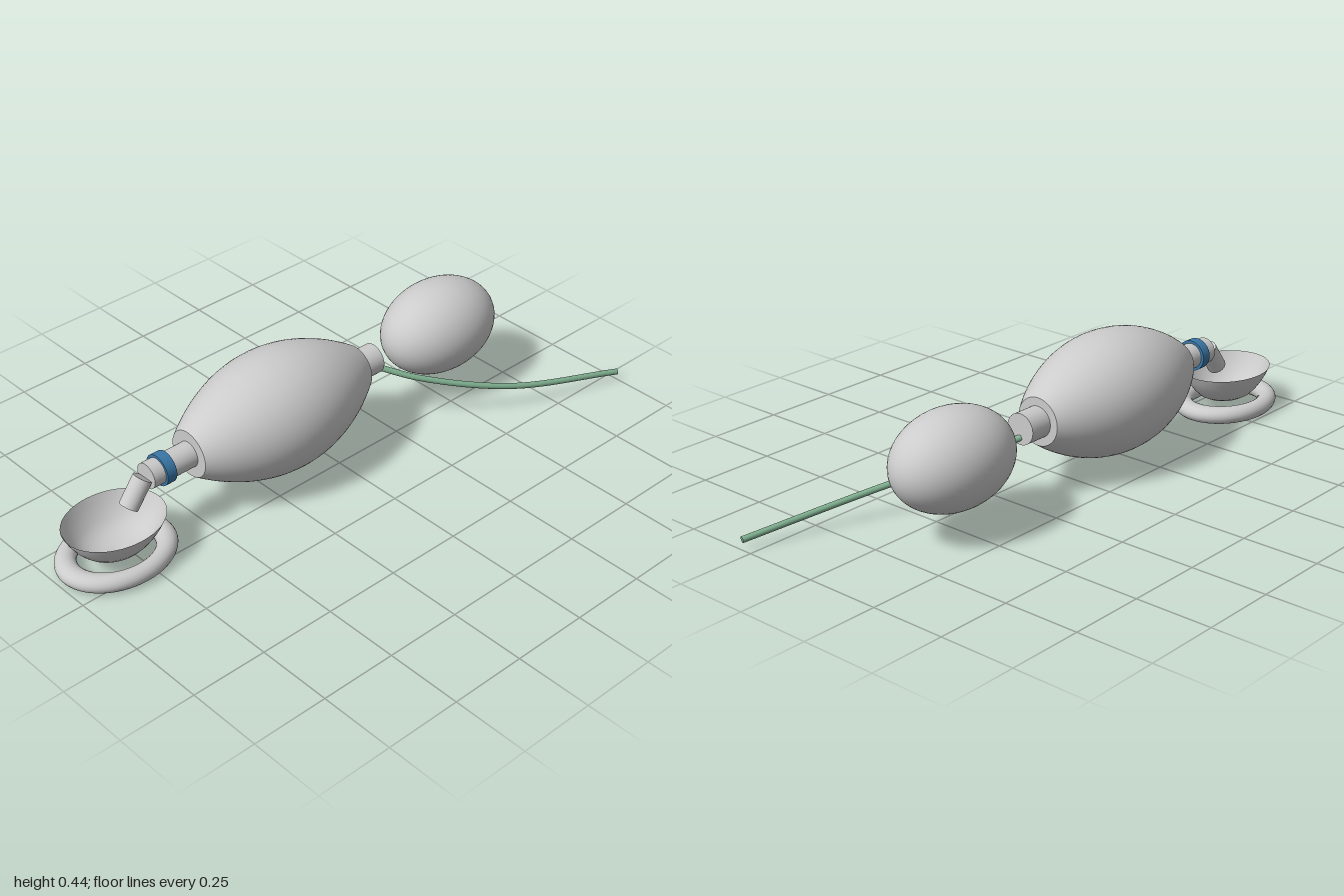
import * as THREE from 'three';

const AXIS_X = -0.1, AXIS_Y = 0.24;

export function createModel() {
  const model = new THREE.Group();
  const grey = new THREE.MeshStandardMaterial({ color: 0xcccccc });
  const greyOpen = new THREE.MeshStandardMaterial({ color: 0xcccccc, side: THREE.DoubleSide });
  const blue = new THREE.MeshStandardMaterial({ color: 0x3a78a8 });
  const green = new THREE.MeshStandardMaterial({ color: 0x80b090, side: THREE.DoubleSide });

  const add = (name, geometry, material, x, y, z) => {
    const mesh = new THREE.Mesh(geometry, material);
    mesh.name = name;
    mesh.position.set(x, y, z);
    model.add(mesh);
    return mesh;
  };
  // Cylinder lying along z between two positions
  const barrel = (name, r, z0, z1, material) => add(name,
    new THREE.CylinderGeometry(r, r, z1 - z0, 40).rotateX(Math.PI / 2),
    material, AXIS_X, AXIS_Y, (z0 + z1) / 2);

  // Squeeze bag: bulging wall of revolution with flat ends
  const half = 0.338, wall = [];
  for (let i = 0; i <= 32; i++) {
    const t = i / 16 - 1;
    wall.push(new THREE.Vector2(0.077 + 0.119 * (1 - t * t), t * half));
  }
  add('squeezeBag', new THREE.LatheGeometry(wall, 56).rotateX(Math.PI / 2), grey, AXIS_X, AXIS_Y, 0.177);
  for (const side of [-1, 1]) {
    const end = add('bagEnd', new THREE.CircleGeometry(0.077, 56), grey, AXIS_X, AXIS_Y, 0.177 + side * half);
    if (side < 0) end.rotation.y = Math.PI;
  }

  // Necks and coloured collar
  barrel('frontNeck', 0.042, 0.5, 0.675, grey);
  barrel('collar', 0.051, 0.6, 0.634, blue);
  barrel('rearNeck', 0.05, -0.24, -0.15, grey);

  // Slanted elbow pointing down into the mask
  const elbow = add('elbow', new THREE.CylinderGeometry(0.031, 0.031, 0.096, 32), grey, AXIS_X, 0.203, 0.717);
  elbow.rotation.x = -Math.atan2(0.6, 0.8);

  // Mask bowl, oval and open at the top
  const bowl = [[0, 0.036], [0.035, 0.039], [0.06, 0.047], [0.082, 0.06], [0.098, 0.078],
    [0.112, 0.099], [0.125, 0.123], [0.135, 0.148]].map(p => new THREE.Vector2(...p));
  const mask = add('maskBowl', new THREE.LatheGeometry(bowl, 48), greyOpen, AXIS_X, 0, 0.801);
  mask.scale.z = 1.23;

  // Oval cushion the mask rests on
  const cushion = add('maskCushion',
    new THREE.TorusGeometry(0.129, 0.0285, 20, 56).rotateX(Math.PI / 2), grey, AXIS_X, 0.0285, 0.801);
  cushion.scale.z = 1.24;

  // Reservoir bag
  const reservoir = add('reservoirBag', new THREE.SphereGeometry(1, 48, 32), grey, AXIS_X, AXIS_Y, -0.53);
  reservoir.scale.set(0.153, 0.153, 0.216);

  // Supply hose trailing to the back
  const path = new THREE.CatmullRomCurve3([
    new THREE.Vector3(-0.1, 0.213, -0.235),
    new THREE.Vector3(0.005, 0.16, -0.355),
    new THREE.Vector3(0.16, 0.089, -0.61),
    new THREE.Vector3(0.287, 0.031, -0.997),
  ]);
  add('supplyHose', new THREE.TubeGeometry(path, 48, 0.01, 14), green, 0, 0, 0);
  for (const t of [0, 1]) {
    const p = path.getPoint(t);
    const cap = add('hoseEnd', new THREE.CircleGeometry(0.01, 14), green, p.x, p.y, p.z);
    cap.lookAt(p.clone().add(path.getTangent(t).multiplyScalar(t ? 1 : -1)));
  }
  return model;
}
